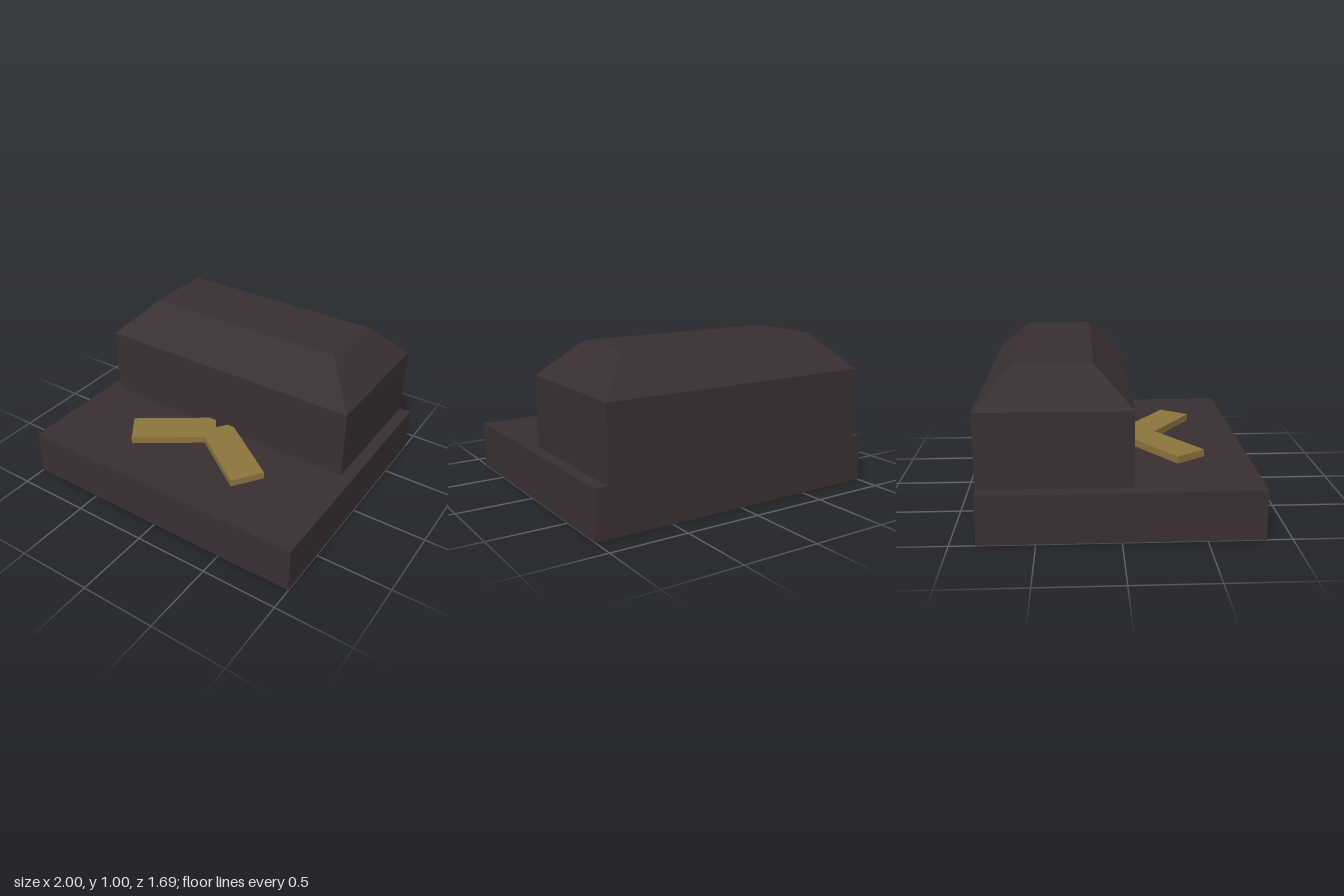
import * as THREE from 'three';

const dark = new THREE.MeshStandardMaterial({ color: 0x3a2f31, flatShading: true, side: THREE.DoubleSide });
dark.name = 'dark brown';
const gold = new THREE.MeshStandardMaterial({ color: 0x8c743c, flatShading: true });
gold.name = 'dull gold';

// Hollow shell, open below and capped on top; each ring is [y, halfWidth, zBack, zFront]
function rectLoft(rings) {
  const corners = rings.map(([y, w, zb, zf]) => [[-w, y, zf], [w, y, zf], [w, y, zb], [-w, y, zb]]);
  const pos = [];
  const quad = (a, b, c, d) => pos.push(...a, ...b, ...c, ...a, ...c, ...d);
  for (let i = 0; i < corners.length - 1; i++) {
    const lo = corners[i], hi = corners[i + 1];
    for (let j = 0; j < 4; j++) {
      const k = (j + 1) % 4;
      quad(lo[j], lo[k], hi[k], hi[j]);
    }
  }
  quad(...corners[corners.length - 1]);
  const geo = new THREE.BufferGeometry();
  geo.setAttribute('position', new THREE.Float32BufferAttribute(pos, 3));
  geo.computeVertexNormals();
  return geo;
}

export function createModel() {
  const model = new THREE.Group();
  model.name = 'model';
  const add = (name, geo, mat) => {
    const mesh = new THREE.Mesh(geo, mat);
    mesh.name = name;
    model.add(mesh);
    return mesh;
  };

  // Wide low base, open underneath
  add('base', rectLoft([[0, 1, -0.845, 0.845], [0.308, 1, -0.845, 0.845]]), dark);

  // Raised block with a bevelled top; its walls run down inside the base
  add('raisedBlock', rectLoft([
    [0, 0.92, -0.845, 0.075],
    [0.77, 0.92, -0.845, 0.075],
    [1, 0.692, -0.615, -0.155],
  ]), dark);

  // Two mirrored bars forming the chevron
  for (const s of [-1, 1]) {
    const bar = add(s < 0 ? 'rightChevronBar' : 'leftChevronBar', new THREE.BoxGeometry(0.566, 0.047, 0.226), gold);
    bar.position.set(s * 0.233, 0.3315, 0.305);
    bar.rotation.y = -s * THREE.MathUtils.degToRad(35);
  }
  return model;
}
